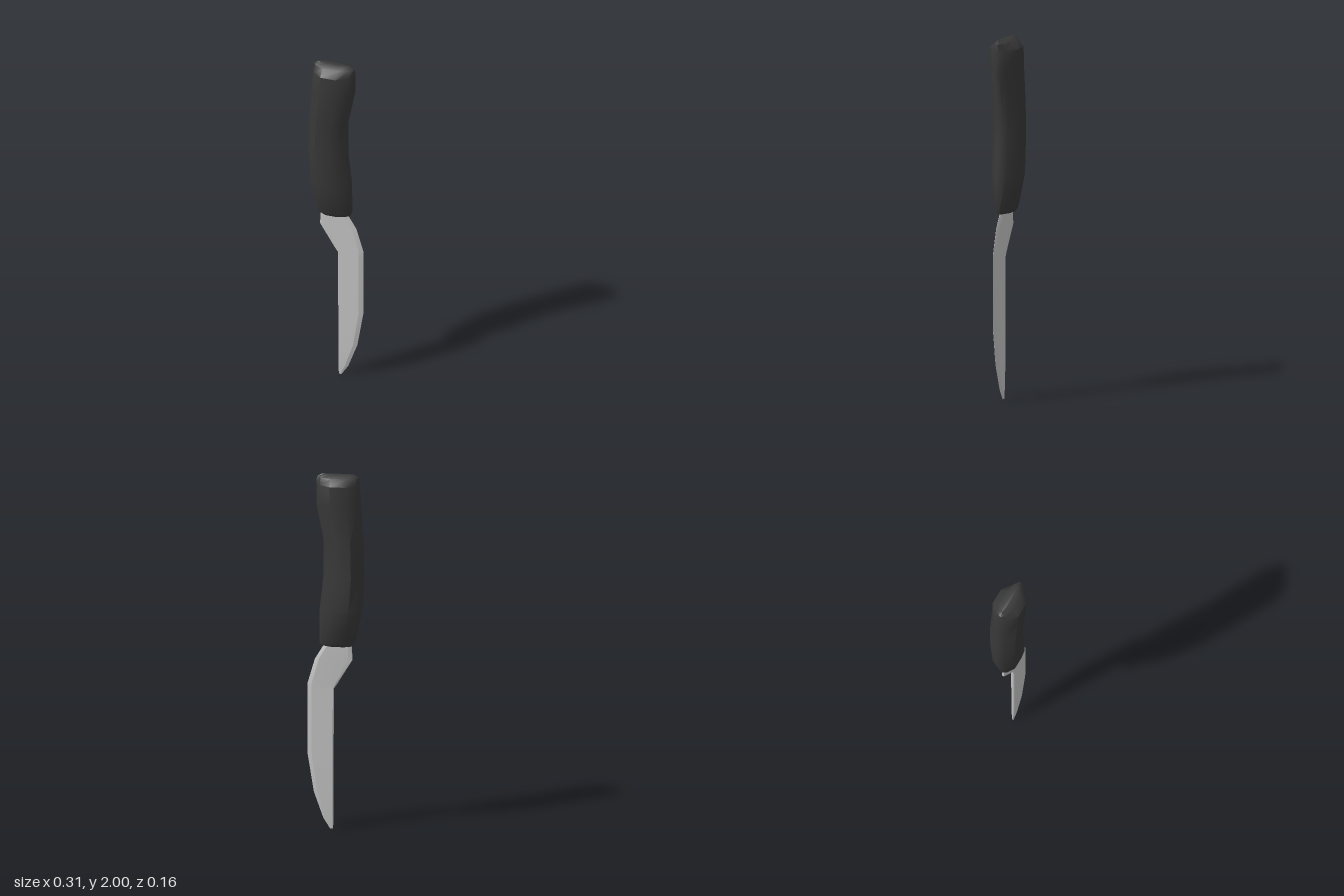
import * as THREE from 'three';
import { toCreasedNormals } from 'three/addons/utils/BufferGeometryUtils.js';

// Skin a stack of cross-sections. Each section is a y and a front chain of [x, z]
// points running from -x to +x, mirrored to the back.
function loft(sections, crease) {
  const pos = [], index = [];
  for (const { y, chain } of sections) {
    for (const [x, z] of chain) pos.push(x, y, z);
    for (const [x, z] of [...chain].reverse()) pos.push(x, y, -z);
  }
  const n = sections[0].chain.length * 2;
  for (let r = 0; r < sections.length - 1; r++) {
    for (let i = 0; i < n; i++) {
      const a = r * n + i, b = r * n + (i + 1) % n;
      index.push(a, b, b + n, a, b + n, a + n);
    }
  }
  const top = (sections.length - 1) * n;
  for (let i = 1; i < n - 1; i++) {
    index.push(0, i + 1, i);
    index.push(top, top + i, top + i + 1);
  }
  const geometry = new THREE.BufferGeometry();
  geometry.setAttribute('position', new THREE.Float32BufferAttribute(pos, 3));
  geometry.setIndex(index);
  return toCreasedNormals(geometry, crease);
}

export function createModel() {
  const gripMaterial = new THREE.MeshStandardMaterial({ color: 0x383838 });
  gripMaterial.name = 'black grip';
  const steelMaterial = new THREE.MeshStandardMaterial({ color: 0xc4c4c4 });
  steelMaterial.name = 'steel';

  // Handle: faceted oval section, [y, left, right, half depth]
  const oval = [[0, 0.13], [0.06, 0.5], [0.27, 1], [0.65, 1], [0.9, 0.5], [1, 0.13]];
  const handleRows = [
    [1.035, -0.1, 0.078, 0.04],
    [1.055, -0.11, 0.087, 0.053],
    [1.24, -0.15, 0.084, 0.08],
    [1.43, -0.16, 0.063, 0.08],
    [1.63, -0.155, 0.063, 0.08],
    [1.83, -0.142, 0.102, 0.08],
    [1.945, -0.134, 0.103, 0.08],
    [1.983, -0.128, 0.1, 0.045],
    [2.0, -0.105, 0.075, 0.008],
  ];
  const handle = new THREE.Mesh(loft(handleRows.map(([y, l, r, d]) => ({
    y, chain: oval.map(([u, w]) => [l + u * (r - l), w * d]),
  })), 0.7), gripMaterial);
  handle.name = 'handle';

  // Blade: flat spine on the left, ground edge on the right,
  // [y, left, right, spine bevel, edge bevel, half thickness]
  const bladeRows = [
    [0, 0.012, 0.028, 0.003, 0.006, 0.003],
    [0.06, 0.01, 0.066, 0.004, 0.018, 0.007],
    [0.205, 0.01, 0.118, 0.004, 0.022, 0.01],
    [0.42, 0.01, 0.153, 0.004, 0.024, 0.01],
    [0.79, 0.007, 0.153, 0.004, 0.024, 0.01],
    [0.815, -0.01, 0.153, 0.01, 0.024, 0.01],
    [0.955, -0.095, 0.112, 0.025, 0.022, 0.01],
    [1.06, -0.089, 0.048, 0.01, 0.02, 0.01],
  ];
  const blade = new THREE.Mesh(loft(bladeRows.map(([y, l, r, s, e, t]) => ({
    y, chain: [[l, t * 0.6], [l + s, t], [r - e, t], [r, 0.0005]],
  })), 0.25), steelMaterial);
  blade.name = 'blade';

  const knife = new THREE.Group();
  knife.name = 'knife';
  knife.add(handle, blade);
  return knife;
}
